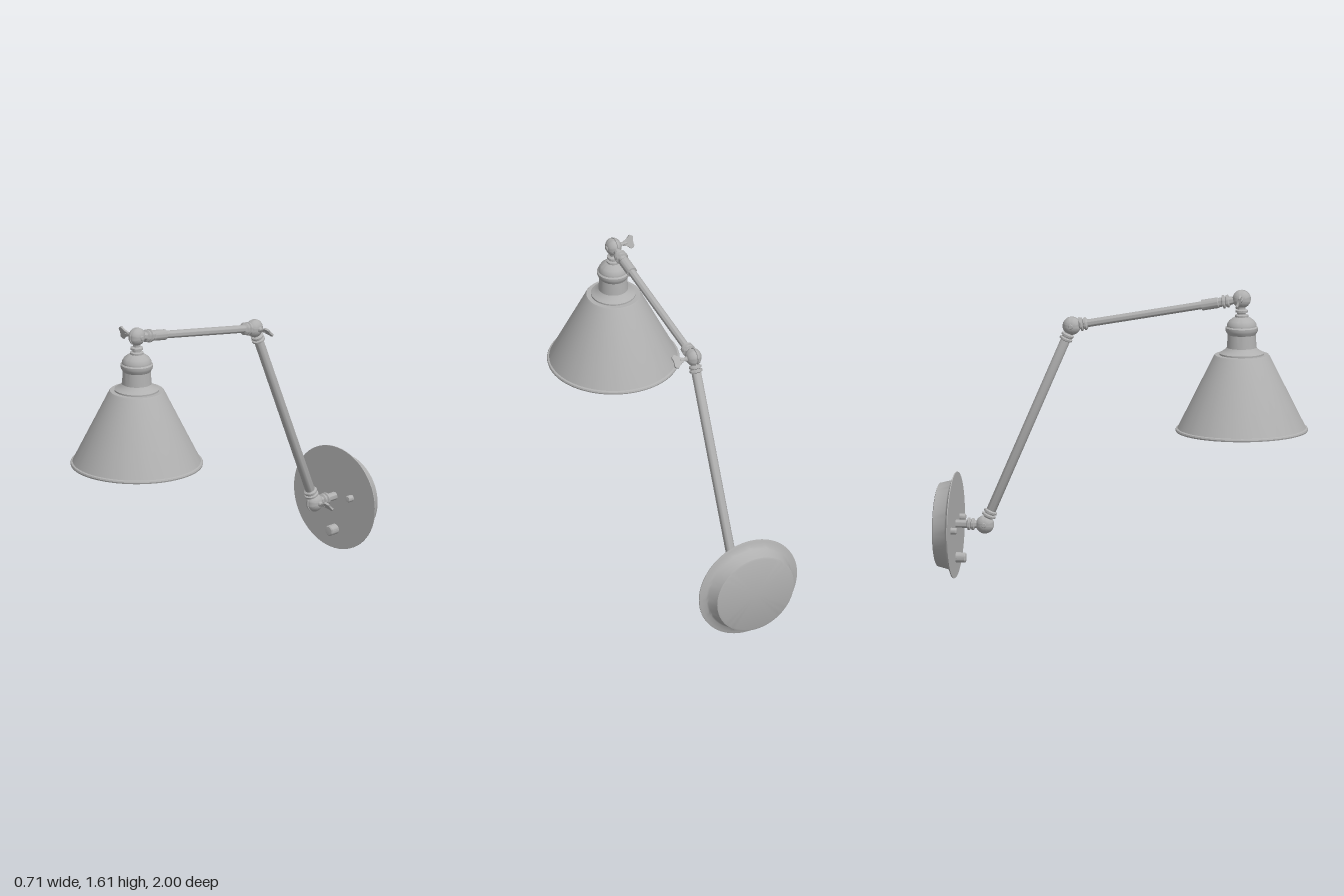
import * as THREE from 'three';
import { toCreasedNormals } from 'three/addons/utils/BufferGeometryUtils.js';

const metal = new THREE.MeshStandardMaterial({ color: 0xb0b0b0, side: THREE.DoubleSide });
metal.name = 'grey metal';

const UP = new THREE.Vector3(0, 1, 0);
const X = -0.005;
const point = (y, z, x = X) => new THREE.Vector3(x, y, z);

// Turned part: [radius, distance] pairs, measured from a point along a direction
function turned(name, profile, origin, direction, segments = 32) {
  const points = profile.map(([r, d]) => new THREE.Vector2(r, d));
  const geometry = toCreasedNormals(new THREE.LatheGeometry(points, segments), 0.6);
  const mesh = new THREE.Mesh(geometry, metal);
  mesh.name = name;
  mesh.position.copy(origin);
  mesh.quaternion.setFromUnitVectors(UP, direction.clone().normalize());
  return mesh;
}

// Slotted ball with a bolt through it and a fan-shaped wing key on one side
function joint(name, centre, side, tilt) {
  const group = new THREE.Group();
  group.name = name;
  group.position.copy(centre);
  const axis = new THREE.Vector3(side, 0, 0);
  const zero = new THREE.Vector3();
  group.add(turned('slottedBall', [
    [0, -0.04], [0.018, -0.04], [0.03, -0.034], [0.041, -0.024], [0.048, -0.012], [0.049, -0.005],
    [0.044, -0.004], [0.044, 0.004],
    [0.049, 0.005], [0.048, 0.012], [0.041, 0.024], [0.03, 0.034], [0.018, 0.04], [0, 0.04],
  ], zero, axis));
  group.add(turned('bolt', [[0, -0.046], [0.011, -0.045], [0.014, -0.038], [0.014, 0.045],
    [0.009, 0.055], [0.009, 0.08], [0, 0.08]], zero, axis, 16));

  const fan = new THREE.Shape();
  fan.moveTo(0.06, -0.01);
  fan.quadraticCurveTo(0.085, -0.016, 0.1, -0.036);
  fan.quadraticCurveTo(0.116, -0.036, 0.12, -0.022);
  fan.quadraticCurveTo(0.112, 0, 0.12, 0.022);
  fan.quadraticCurveTo(0.116, 0.036, 0.1, 0.036);
  fan.quadraticCurveTo(0.085, 0.016, 0.06, 0.01);
  const key = new THREE.Mesh(new THREE.ExtrudeGeometry(fan, {
    depth: 0.006, bevelThickness: 0.003, bevelSize: 0.002, bevelSegments: 2, curveSegments: 8,
  }).translate(0, 0, -0.003), metal);
  key.name = 'wingKey';
  key.rotation.set(tilt, side < 0 ? Math.PI : 0, 0);
  group.add(key);
  return group;
}

// Double ring collar profile starting at distance d
const collar = (d, r) => [
  [r * 0.7, d], [r, d + 0.005], [r, d + 0.014], [r * 0.75, d + 0.018],
  [r * 0.75, d + 0.022], [r * 0.95, d + 0.026], [r * 0.95, d + 0.036], [r * 0.65, d + 0.042],
];

export function createModel() {
  const lamp = new THREE.Group();
  lamp.name = 'wallLamp';
  const head = point(1.563, 0.646);
  const elbow = point(1.39, -0.277);
  const base = point(0.295, -0.748);
  const forward = new THREE.Vector3(0, 0, 1);

  // Wall plate: flared rim, tapering towards the wall
  const plate = turned('wallPlate', [
    [0, 0], [0.222, 0], [0.232, 0.004], [0.25, 0.072], [0.258, 0.08],
    [0.285, 0.086], [0.296, 0.09], [0.296, 0.095], [0, 0.095],
  ], point(0.287, -1), forward, 64);
  plate.scale.z = 0.965;
  lamp.add(plate);

  // Plate screws: x, y, radius, length
  for (const [x, y, r, l] of [[-0.18, 0.285, 0.018, 0.035], [0.12, 0.31, 0.018, 0.035], [0, 0.11, 0.028, 0.055]]) {
    lamp.add(turned('plateScrew', [[0, -0.01], [r, -0.01], [r, l - 0.006], [r * 0.8, l], [0, l + 0.002]],
      point(y, -0.907, x), forward, 20));
  }

  // Stub joining the plate and the lower joint
  lamp.add(turned('wallStub', [[0.022, 0], [0.022, 0.065], ...collar(0.066, 0.034), [0.018, 0.13]],
    point(0.295, -0.91), forward));

  lamp.add(joint('headJoint', head, -1, 0.3));
  lamp.add(joint('elbowJoint', elbow, 1, 0.8));
  lamp.add(joint('lowerJoint', base, 1, 0.8));

  // Lower arm, with a collar at each end
  const rise = elbow.clone().sub(base);
  const riseLength = rise.length();
  lamp.add(turned('lowerArm', [
    [0.02, 0.03], ...collar(0.045, 0.038), [0.026, 0.09],
    [0.026, riseLength - 0.09], ...collar(riseLength - 0.087, 0.036), [0.018, riseLength - 0.03],
  ], base, rise));

  // Upper arm, with a wide sleeve beside the head joint
  const reach = head.clone().sub(elbow);
  const reachLength = reach.length();
  lamp.add(turned('upperArm', [
    [0.018, 0.03], ...collar(0.045, 0.036), [0.021, 0.09],
    [0.021, reachLength - 0.22], [0.029, reachLength - 0.219], [0.029, reachLength - 0.13],
    [0.025, reachLength - 0.125], [0.025, reachLength - 0.11],
    ...collar(reachLength - 0.108, 0.036), [0.018, reachLength - 0.03],
  ], elbow, reach));

  // Stepped socket above the shade
  const axis = point(0, 0.646);
  lamp.add(turned('socket', [
    [0, 1.25], [0.12, 1.255], [0.12, 1.27], [0.105, 1.278], [0.088, 1.29], [0.08, 1.3],
    [0.075, 1.37], [0.084, 1.385], [0.088, 1.395], [0.088, 1.408], [0.08, 1.415], [0.08, 1.425],
    [0.068, 1.445], [0.045, 1.462], [0.036, 1.466], [0.036, 1.476], [0.024, 1.48],
    [0.024, 1.488], [0.034, 1.492], [0.034, 1.502], [0.02, 1.508], [0.02, 1.54],
  ], axis, UP, 48));

  // Hollow conical shade with a rolled rim
  lamp.add(turned('shade', [
    [0.02, 1.25], [0.138, 1.25], [0.336, 0.864], [0.345, 0.846], [0.354, 0.846], [0.356, 0.853],
    [0.353, 0.86], [0.344, 0.863], [0.15, 1.253], [0.144, 1.261], [0.02, 1.263],
  ], axis, UP, 72));

  // Bulb inside the shade
  const bulb = [];
  for (let i = 0; i <= 10; i++) {
    const a = (i / 10) * Math.PI * 0.62;
    bulb.push([0.07 * Math.sin(a), 0.965 - 0.07 * Math.cos(a)]);
  }
  lamp.add(turned('bulb', [...bulb, [0.055, 1.05], [0.045, 1.1], [0.045, 1.25]], axis, UP));

  return lamp;
}
